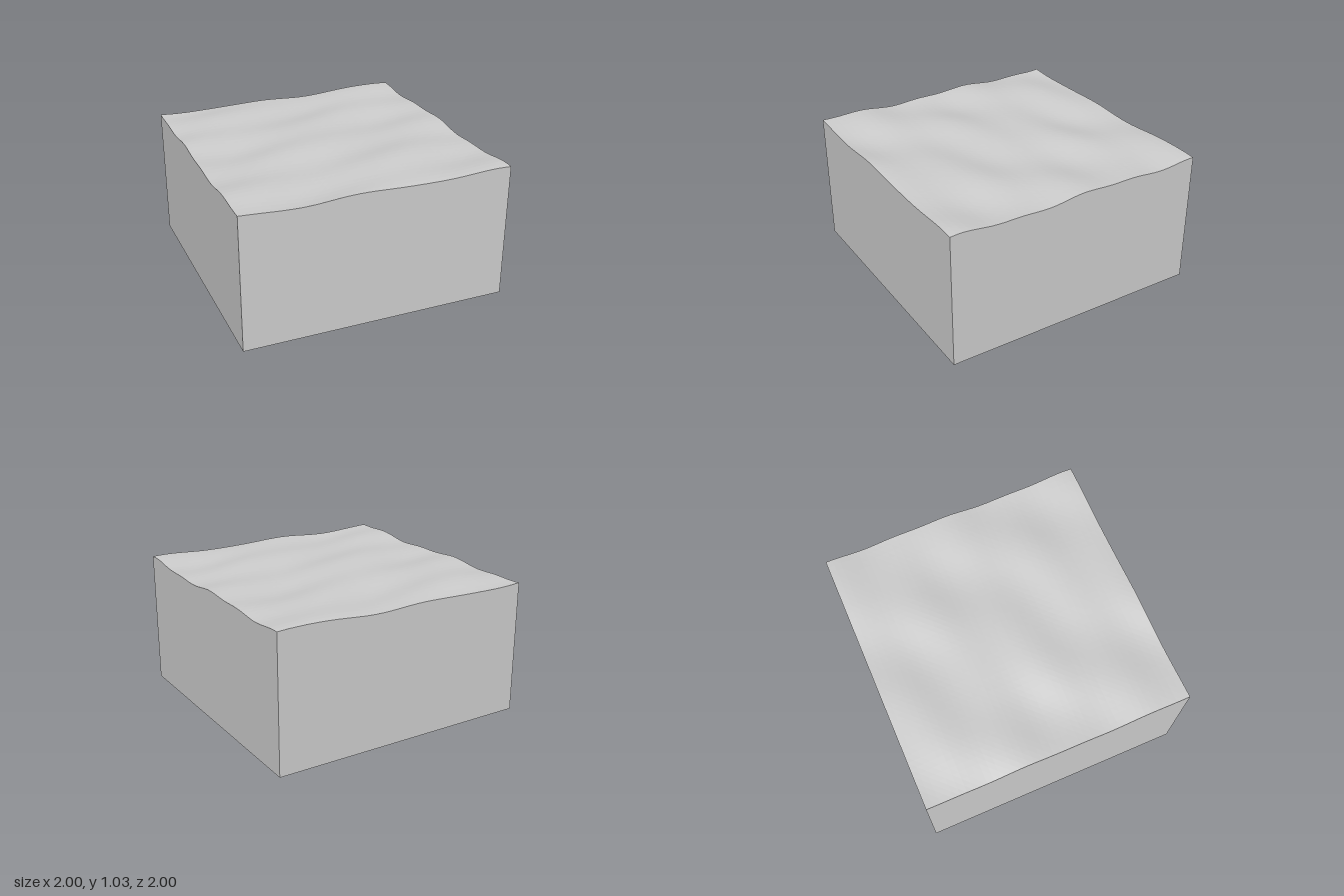
import * as THREE from 'three';

// Height of the rippled surface: diagonal swell, short ripples and a cross wave
function waveHeight(x, z) {
  return 1.004
    + 0.012 * Math.cos(6 * (x + z) + 1.02)
    + 0.006 * Math.cos(13.5 * z + 1.5 * Math.sin(2 * x) - 1.13)
    + 0.005 * Math.cos(4.2 * x - 3 * z + 0.6)
    + 0.002 * Math.sin(11 * x + 4 * z);
}

export function createModel() {
  const group = new THREE.Group();
  group.name = 'waterBlock';

  // Solid block whose upper vertices follow the waves
  const geometry = new THREE.BoxGeometry(2, 1, 2, 40, 1, 40);
  geometry.translate(0, 0.5, 0);
  const p = geometry.attributes.position;
  for (let i = 0; i < p.count; i++) {
    if (p.getY(i) > 0.5) p.setY(i, waveHeight(p.getX(i), p.getZ(i)));
  }
  geometry.computeVertexNormals();

  const block = new THREE.Mesh(
    geometry,
    new THREE.MeshStandardMaterial({ color: 0xcccccc, flatShading: true })
  );
  block.name = 'waterVolume';
  group.add(block);
  return group;
}
